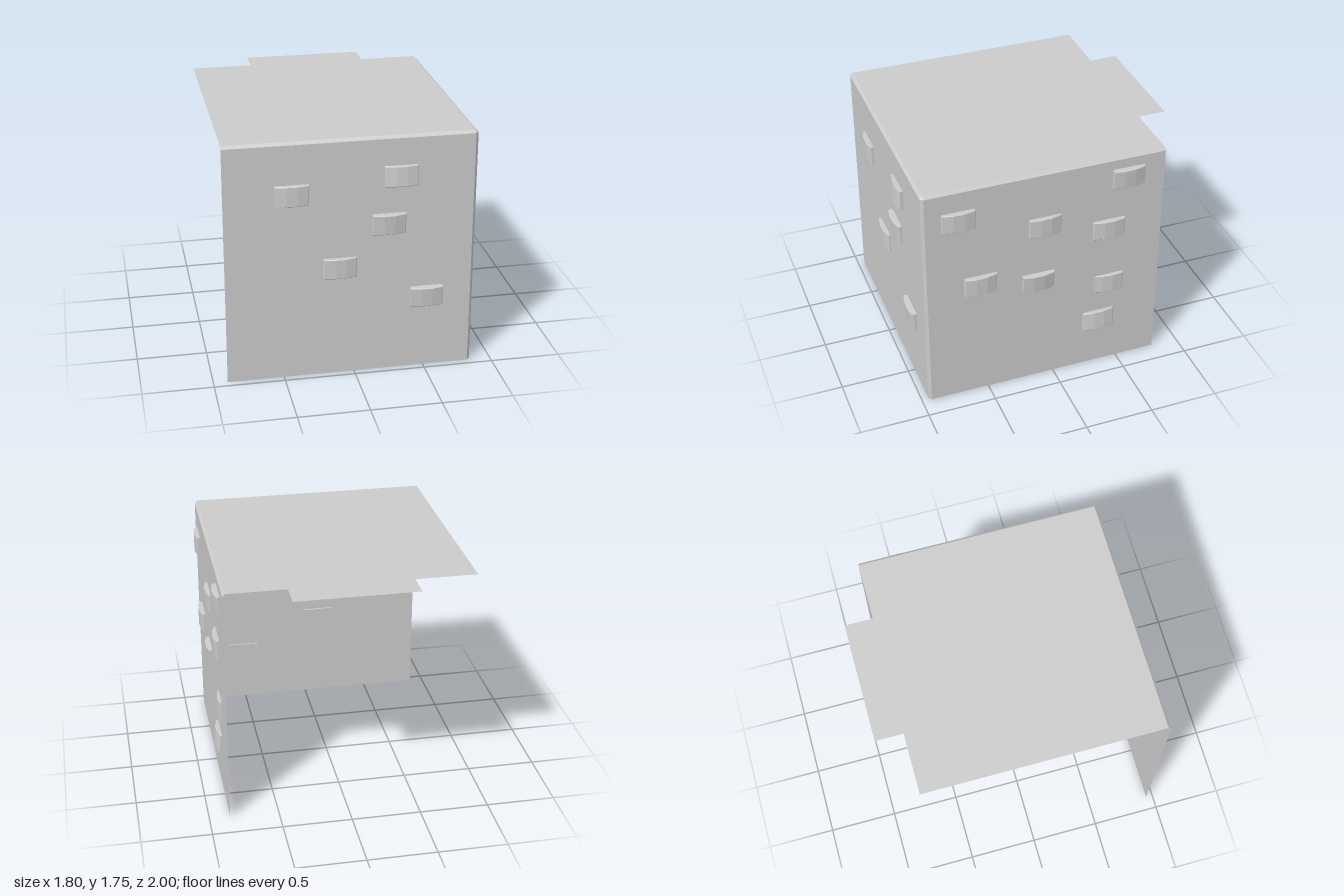
import * as THREE from 'three';

const material = new THREE.MeshStandardMaterial({
  color: 0xcccccc, flatShading: true, side: THREE.DoubleSide,
});

// Outer limits of the shell, its open edges and the width of the bevel
const LEFT = 0.85, RIGHT = -0.9, FRONT = 0.95, BACK = -0.8, TOP = 1.75, BEVEL = 0.02;
const L = LEFT - BEVEL, F = FRONT - BEVEL, T = TOP - BEVEL;

// Flat convex panel, corners counter-clockwise from outside
function panel(name, corners) {
  const index = [];
  for (let i = 1; i < corners.length - 1; i++) index.push(0, i, i + 1);
  const geometry = new THREE.BufferGeometry();
  geometry.setAttribute('position', new THREE.Float32BufferAttribute(corners.flat(), 3));
  geometry.setIndex(index);
  geometry.computeVertexNormals();
  const mesh = new THREE.Mesh(geometry, material);
  mesh.name = name;
  return mesh;
}

// Roof sheet with a tab at the back
function createRoof() {
  const outline = [
    [RIGHT, F], [L, F], [LEFT - 0.005, F], [LEFT - 0.005, BACK], [0.41, BACK],
    [0.41, -1], [-0.46, -1], [-0.46, BACK], [RIGHT, BACK],
  ].map(([x, z]) => new THREE.Vector2(Math.min(x, L), -z));
  outline.splice(2, 1);
  const geometry = new THREE.ShapeGeometry(new THREE.Shape(outline));
  geometry.rotateX(-Math.PI / 2).translate(0, TOP, 0);
  const roof = new THREE.Mesh(geometry, material);
  roof.name = 'roof';
  return roof;
}

// Bowed, open-backed brick: back rim, bevel start and front face loops
function brickGeometry() {
  const w = 0.117, h = 0.073, c = 0.005;
  const columns = [[-w, 0.022], [-0.04, 0.036], [0.04, 0.036], [w, 0.022]];
  const loop = (inset, depth) => {
    const row = (sign) => columns.map(([x, z]) => [
      x * (1 - inset / w), sign * (h - inset), depth === null ? -0.012 : z + depth,
    ]);
    return [...row(-1), ...row(1).reverse()];
  };
  const points = [...loop(0, null), ...loop(0, -c), ...loop(c, 0)];
  const index = [];
  for (let ring = 0; ring < 2; ring++) {
    for (let i = 0; i < 8; i++) {
      const a = ring * 8 + i, b = ring * 8 + (i + 1) % 8;
      index.push(a, b, b + 8, a, b + 8, a + 8);
    }
  }
  for (let i = 0; i < 3; i++) {
    const a = 16 + i, d = 23 - i;
    index.push(a, a + 1, d - 1, a, d - 1, d);
  }
  const geometry = new THREE.BufferGeometry();
  geometry.setAttribute('position', new THREE.Float32BufferAttribute(points.flat(), 3));
  geometry.setIndex(index);
  geometry.computeVertexNormals();
  return geometry;
}

// Bricks on one wall: [across, height, pitch, yaw, depth offset]
function createBricks(name, geometry, placements) {
  const group = new THREE.Group();
  group.name = name;
  for (const [u, y, pitch = 0, yaw = 0, offset = 0] of placements) {
    const brick = new THREE.Mesh(geometry, material);
    brick.name = 'brick';
    brick.position.set(u, y, offset);
    brick.rotation.set(pitch, yaw, 0);
    group.add(brick);
  }
  return group;
}

export function createModel() {
  const model = new THREE.Group();
  model.name = 'brickCorner';

  // Two walls and the roof
  model.add(panel('frontWall', [[RIGHT, 0, FRONT], [L, 0, FRONT], [L, T, FRONT], [RIGHT, T, FRONT]]));
  model.add(panel('sideWall', [[LEFT, 0, F], [LEFT, 0, BACK], [LEFT, T, BACK], [LEFT, T, F]]));
  model.add(createRoof());

  // Bevels along the three shared edges and their corner
  model.add(panel('cornerBevel', [[L, 0, FRONT], [LEFT, 0, F], [LEFT, T, F], [L, T, FRONT]]));
  model.add(panel('frontRoofBevel', [[RIGHT, T, FRONT], [L, T, FRONT], [L, TOP, F], [RIGHT, TOP, F]]));
  model.add(panel('sideRoofBevel', [[LEFT, T, F], [LEFT, T, BACK], [L, TOP, BACK], [L, TOP, F]]));
  model.add(panel('cornerTip', [[L, T, FRONT], [LEFT, T, F], [L, TOP, F]]));

  // Raised bricks
  const geometry = brickGeometry();
  const frontBricks = createBricks('frontBricks', geometry, [
    [-0.435, 1.375, 0, -0.02],
    [0.315, 1.465, -0.07, -0.03, 0.003],
    [0.235, 1.12, 0.07, 0.03, 0.003],
    [-0.105, 0.815, 0, 0.03, -0.003],
    [0.51, 0.55, 0.08, -0.02, 0.004],
  ]);
  frontBricks.position.z = FRONT;
  model.add(frontBricks);

  // Local x runs towards the back on this wall
  const sideBricks = createBricks('sideBricks', geometry, [
    [-0.7, 1.51, 0, -0.04],
    [0.53, 1.585, 0.06, 0.03],
    [-0.08, 1.32, 0, 0.03, -0.004],
    [0.395, 1.185, 0, -0.03, 0],
    [-0.55, 0.945, 0, 0.03, 0.002],
    [-0.125, 0.855, 0.1, 0, -0.003],
    [0.405, 0.705, 0, -0.1, -0.014],
    [0.34, 0.395, -0.1, 0.02, 0.004],
  ]);
  sideBricks.position.x = LEFT;
  sideBricks.rotation.y = Math.PI / 2;
  model.add(sideBricks);

  return model;
}
